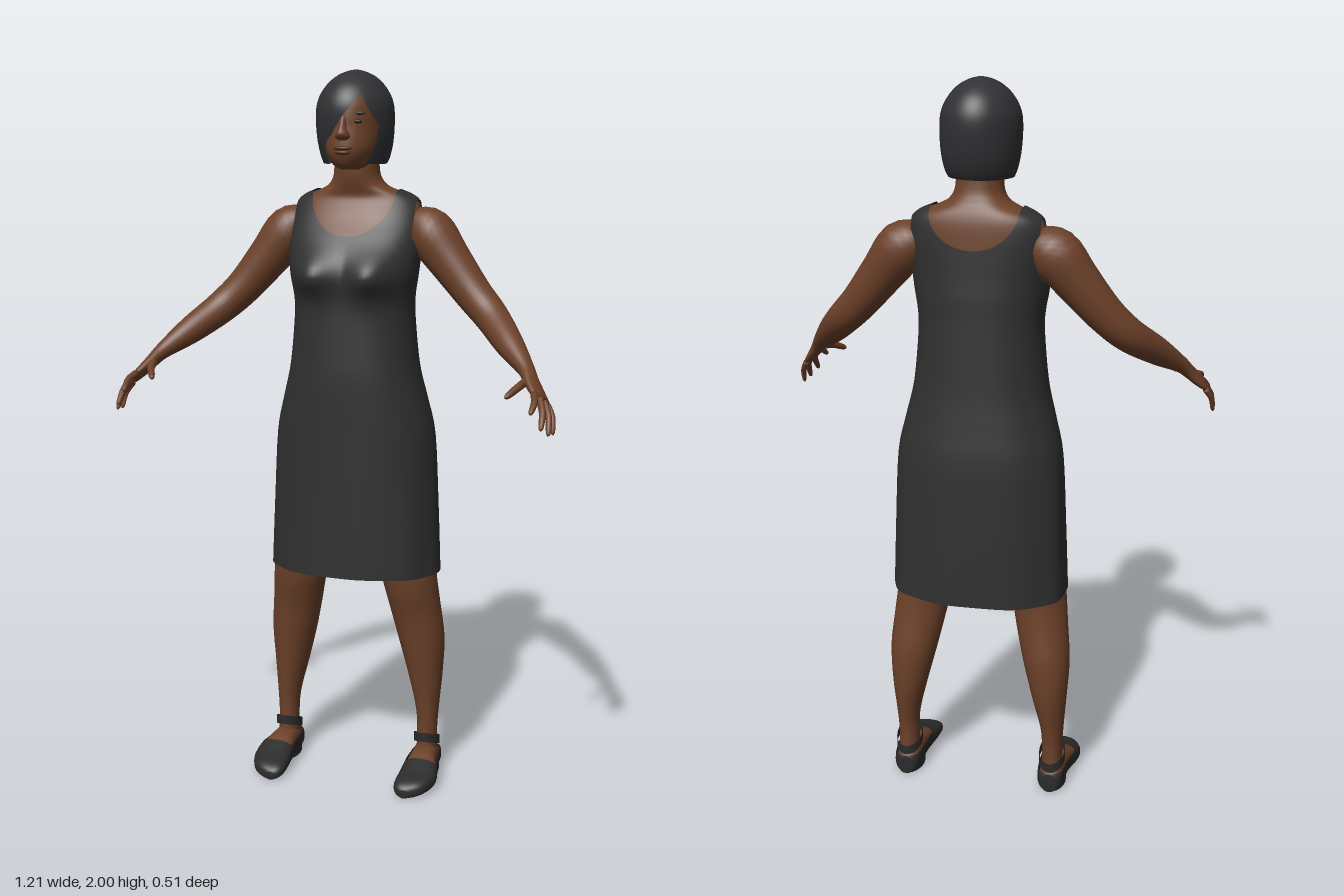
import * as THREE from 'three';

const mat = (name, color, side = THREE.FrontSide) => {
  const m = new THREE.MeshStandardMaterial({ color, side });
  m.name = name;
  return m;
};

// Catmull-Rom resampling of every column in a table of cross-sections
function smooth(rows, k = 4) {
  const out = [], at = i => rows[Math.max(0, Math.min(rows.length - 1, i))];
  for (let i = 0; i < rows.length - 1; i++) for (let s = 0; s < k; s++) {
    const t = s / k;
    out.push(rows[i].map((b, c) => {
      const a = at(i - 1)[c], d = at(i + 1)[c], e = at(i + 2)[c];
      return b + 0.5 * t * (d - a + t * (2 * a - 5 * b + 4 * d - e + t * (3 * (b - d) + e - a)));
    }));
  }
  out.push(rows[rows.length - 1]);
  return out;
}

// Skin over closed rings of [x, y, z] points
function loft(rings, capStart = true, capEnd = true) {
  const n = rings[0].length, m = rings.length, pos = rings.flat(2), idx = [];
  for (let i = 0; i < m - 1; i++) for (let j = 0; j < n; j++) {
    const k = (j + 1) % n, a = i * n + j, b = a + n, c = i * n + k, d = c + n;
    idx.push(a, b, c, c, b, d);
  }
  const cap = (r, flip) => {
    const c = pos.length / 3;
    pos.push(...[0, 1, 2].map(q => rings[r].reduce((s, p) => s + p[q], 0) / n));
    for (let j = 0; j < n; j++) {
      const a = r * n + j, b = r * n + (j + 1) % n;
      idx.push(c, flip ? b : a, flip ? a : b);
    }
  };
  if (capStart) cap(0, false);
  if (capEnd) cap(m - 1, true);
  const g = new THREE.BufferGeometry();
  g.setAttribute('position', new THREE.Float32BufferAttribute(pos, 3));
  g.setIndex(idx);
  g.computeVertexNormals();
  return g;
}

// Superellipse point pair
const oval = (t, p) => [Math.cos(t), Math.sin(t)].map(v => Math.sign(v) * Math.abs(v) ** (2 / p));
const ringOf = (n, fn) => Array.from({ length: n }, (_, j) => fn(j / n * Math.PI * 2));

// Stack of horizontal rings from rows [y, halfWidth, zFront, zBack]
const stack = (rows, { n = 40, p = 2, grow = 0, warp = q => q, caps = [true, true] } = {}) =>
  loft(smooth(rows).map(([y, rx, zf, zb]) => ringOf(n, t => {
    const [c, s] = oval(t, p);
    return warp([c * (rx + grow), y, (zf + zb) / 2 + s * ((zf - zb) / 2 + grow)], t);
  })), ...caps);

// Limb along rows [x, y, z, radiusA, radiusB]; radiusA lies along the hint direction
function limb(rows, hint, n = 16) {
  const r = smooth(rows), v3 = a => new THREE.Vector3(a[0], a[1], a[2]);
  return loft(r.map((q, i) => {
    const d = v3(r[Math.min(i + 1, r.length - 1)]).sub(v3(r[Math.max(i - 1, 0)])).normalize();
    const u = hint.clone().addScaledVector(d, -hint.dot(d)).normalize();
    const v = u.clone().cross(d);
    return ringOf(n, t => v3(q).addScaledVector(u, Math.cos(t) * q[3])
      .addScaledVector(v, Math.sin(t) * q[4]).toArray());
  }));
}

// Cuts a surface along keep(x, y, z) = 0, leaving the positive side
function clip(geo, keep) {
  const g = geo.toNonIndexed(), P = g.attributes.position, N = g.attributes.normal, pos = [], nor = [];
  for (let i = 0; i < P.count; i += 3) {
    const tri = [0, 1, 2].map(k => {
      const p = [P.getX(i + k), P.getY(i + k), P.getZ(i + k)];
      return [...p, N.getX(i + k), N.getY(i + k), N.getZ(i + k), keep(...p)];
    });
    const poly = [];
    tri.forEach((a, k) => {
      const b = tri[(k + 1) % 3];
      if (a[6] >= 0) poly.push(a);
      if ((a[6] >= 0) !== (b[6] >= 0)) poly.push(a.map((v, c) => v + (b[c] - v) * a[6] / (a[6] - b[6])));
    });
    for (let k = 1; k < poly.length - 1; k++) for (const v of [poly[0], poly[k], poly[k + 1]]) {
      pos.push(...v.slice(0, 3));
      nor.push(...v.slice(3, 6));
    }
  }
  const out = new THREE.BufferGeometry();
  out.setAttribute('position', new THREE.Float32BufferAttribute(pos, 3));
  out.setAttribute('normal', new THREE.Float32BufferAttribute(nor, 3));
  return out;
}

function mirror(geo) {
  const g = geo.clone().scale(-1, 1, 1);
  const idx = g.index ? Array.from(g.index.array) : Array.from({ length: g.attributes.position.count }, (_, i) => i);
  g.setIndex(idx.reverse());
  return g;
}

export function createModel() {
  const skin = mat('brown skin', 0x6c4129), cloth = mat('charcoal dress', 0x303030, THREE.DoubleSide);
  const hairM = mat('dark hair', 0x313234, THREE.DoubleSide), shoeM = mat('dark shoe leather', 0x2c2b2b, THREE.DoubleSide);
  const lipM = mat('lips', 0x553022), eyeM = mat('eye black', 0x1c1614);
  const model = new THREE.Group();
  model.name = 'woman';
  const add = (name, geo, m) => {
    const mesh = new THREE.Mesh(geo, m);
    mesh.name = name;
    model.add(mesh);
  };
  const pair = (name, geo, m) => {
    add('left' + name, geo, m);
    add('right' + name, mirror(geo), m);
  };
  const blob = (x, y, z, a, b, c) => new THREE.SphereGeometry(1, 16, 12).scale(a, b, c).translate(x, y, z);

  // Torso and neck, with a fuller bust
  const bust = ([x, y, z]) => [x, y, z < -0.06 ? z :
    z + 0.042 * Math.exp(-(((Math.abs(x) - 0.085) / 0.06) ** 2) - ((y - 1.455) / 0.055) ** 2)];
  const upper = [
    [1.25, .168, .054, -.212], [1.35, .16, .05, -.205], [1.4, .162, .05, -.202], [1.45, .17, .052, -.2],
    [1.5, .176, .04, -.196], [1.55, .182, .012, -.193], [1.6, .182, -.022, -.19], [1.64, .172, -.042, -.186],
    [1.665, .148, -.05, -.18], [1.685, .1, -.045, -.172], [1.7, .076, -.04, -.165], [1.73, .062, -.034, -.156],
    [1.8, .06, -.03, -.15]];
  add('torso', stack(upper, { n: 64, p: 2.3, warp: bust }), skin);

  // Dress with scooped neckline, armholes and soft skirt folds
  const skirt = [[.61, .238, .054, -.249], [.8, .23, .053, -.246], [1, .219, .054, -.24], [1.1, .198, .056, -.228], [1.18, .178, .057, -.218]];
  const dress = stack([...skirt, ...upper], {
    n: 96, p: 2.3, grow: 0.007, caps: [false, false],
    warp: (q, t) => {
      const [x, y, z] = bust(q), f = 1 + 0.012 * Math.sin(9 * t + 1) * Math.max(0, Math.min(1, (1.1 - y) * 2));
      return [x * f, y + 0.003, (z + 0.1) * f - 0.1];
    }
  });
  add('dress', clip(dress, (x, y, z) => {
    const neck = (x / 0.118) ** 2 + (Math.min(0, y - 1.68) / (z > -0.11 ? 0.12 : 0.1)) ** 2 - 1;
    const arm = Math.max(((z + 0.112) / 0.08) ** 2 + ((y - 1.585) / 0.095) ** 2 - 1, (0.17 - Math.abs(x)) * 10);
    return Math.min(neck, arm);
  }), cloth);

  // Head and face
  add('head', stack([[1.738, .025, .005, -.06], [1.75, .046, .026, -.1], [1.78, .066, .041, -.13], [1.81, .077, .041, -.155],
    [1.85, .082, .037, -.175], [1.88, .083, .036, -.182], [1.92, .078, .028, -.18], [1.96, .056, -.005, -.155],
    [1.98, .02, -.05, -.11]]), skin);
  add('nose', stack([[1.814, .012, .046, .01], [1.822, .021, .056, .01], [1.833, .018, .061, .01], [1.85, .011, .052, .01],
    [1.88, .009, .038, .01]], { n: 16 }), skin);
  add('upperLip', blob(0, 1.794, .037, .026, .006, .013), lipM);
  add('lowerLip', blob(0, 1.783, .036, .022, .007, .013), lipM);
  pair('Eye', blob(.036, 1.863, .024, .014, .005, .006), eyeM);
  pair('Eyebrow', blob(.039, 1.884, .022, .02, .004, .005), eyeM);

  // Bobbed hair with a fringe swept from a side parting
  const hair = stack([[1.752, .086, .005, -.163], [1.775, .095, .016, -.178], [1.82, .103, .034, -.194], [1.88, .105, .047, -.203],
    [1.92, .099, .042, -.2], [1.955, .08, .02, -.182], [1.98, .055, -.015, -.152], [1.994, .028, -.048, -.118],
    [2, .004, -.08, -.088]], { n: 72, caps: [false, true] });
  add('hair', clip(hair, (x, y, z) => {
    const left = -0.055 + 0.1 * Math.max(0, (y - 1.79) / 0.14) ** 1.2;
    const right = Math.min(0.088, 0.048 + (1.93 - y) * 0.5);
    return Math.max(left - x, x - right, -0.01 - z);
  }), hairM);

  // Arms running into flattened palms
  const across = new THREE.Vector3(.03, -.032, -.043).normalize();
  pair('Arm', limb([[.15, 1.59, -.115, .045, .045], [.2, 1.568, -.115, .068, .068], [.26, 1.495, -.105, .06, .06],
    [.33, 1.41, -.088, .051, .051], [.39, 1.35, -.058, .046, .046], [.455, 1.29, .02, .038, .038], [.51, 1.24, .085, .025, .023],
    [.53, 1.215, .114, .028, .018], [.55, 1.19, .138, .034, .015], [.568, 1.17, .158, .034, .011]], across, 28), skin);

  // Fingers: base, tip, radius
  const fingers = {
    IndexFinger: [[.551, 1.188, .176], [.555, 1.15, .25], .0098],
    MiddleFinger: [[.563, 1.177, .165], [.58, 1.108, .237], .01],
    RingFinger: [[.573, 1.165, .151], [.595, 1.09, .21], .0096],
    LittleFinger: [[.58, 1.155, .138], [.6, 1.085, .17], .0085],
    Thumb: [[.522, 1.213, .125], [.485, 1.182, .217], .0115]
  };
  for (const [name, [a, b, r]] of Object.entries(fingers)) {
    const rows = [[0, 1], [.5, .92], [.9, .7], [1, .25]].map(([t, s]) =>
      [...a.map((v, i) => v + (b[i] - v) * t + (i < 2 ? 0.006 * Math.sin(t * Math.PI) : 0)), r * s, r * s]);
    pair(name, limb(rows, across, 10), skin);
  }

  // Legs, rows [x, y, z, halfWidth, halfDepth]
  const legs = [[.1, 1, -.09, .095, .11], [.135, .75, -.08, .092, .092], [.163, .6, -.078, .078, .08], [.179, .5, -.094, .072, .07],
    [.195, .4, -.109, .065, .069], [.205, .3, -.114, .05, .06], [.213, .2, -.109, .034, .044], [.214, .13, -.106, .029, .037],
    [.214, .04, -.104, .03, .042]];
  pair('Leg', limb(legs, new THREE.Vector3(1, 0, 0), 28), skin);

  // Feet and shoes, toe to heel, rows [z, x, halfWidth, height]
  const foot = [[.11, .199, .012, .024], [.1, .204, .032, .035], [.08, .211, .046, .045], [.04, .219, .054, .056],
    [0, .22, .052, .071], [-.05, .216, .044, .088], [-.1, .214, .04, .088], [-.14, .214, .035, .075], [-.155, .214, .02, .055]];
  const footGeo = inset => loft(smooth(foot).map(([z, x, w, h]) => ringOf(28, t => {
    const [c, s] = oval(t, 2.6);
    return [x + c * (w - inset), h / 2 + s * (h / 2 - inset), z * (1 - inset * 8)];
  })));
  pair('Foot', footGeo(.005), skin);
  pair('Shoe', clip(footGeo(0), (x, y, z) => Math.max(z + .005, .06 - y)), shoeM);
  pair('ShoeHeel', new THREE.CylinderGeometry(1, 1, .02, 24).scale(.038, 1, .062).translate(.214, .01, -.09), shoeM);
  pair('AnkleStrap', loft([-.014, .014].map(h => ringOf(32, t =>
    [.214 + .037 * Math.cos(t), .096 + .02 * Math.sin(t) + h, -.104 + .048 * Math.sin(t)])), false, false), shoeM);

  return model;
}
